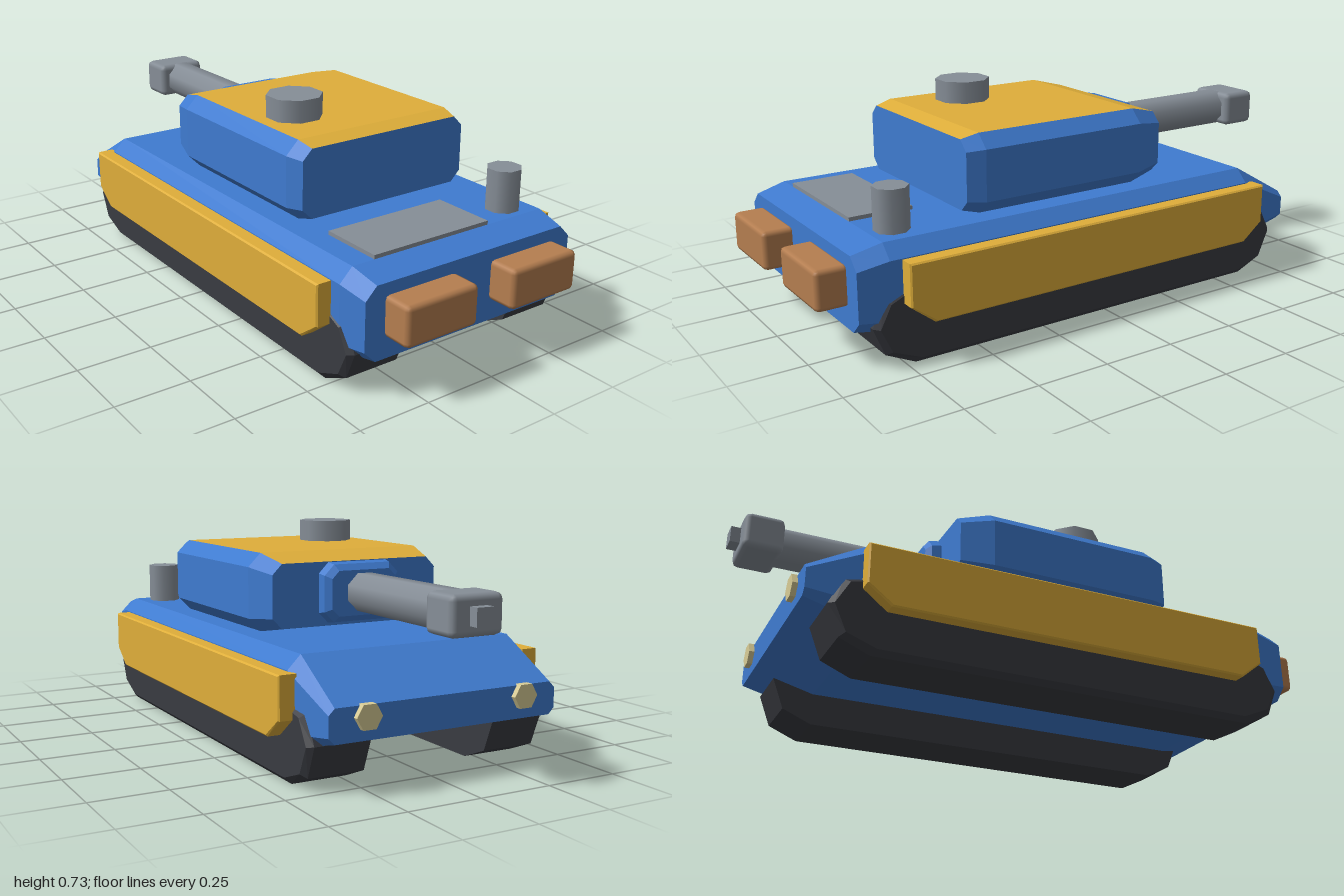
import * as THREE from 'three';
import { RoundedBoxGeometry } from 'three/addons/geometries/RoundedBoxGeometry.js';

const material = (color, flatShading = false) => new THREE.MeshStandardMaterial({ color, flatShading });
const blue = material(0x3f7bd0, true);
const yellow = material(0xdfae3a, true);
const dark = material(0x393b41, true);
const grey = material(0x868e97);
const brown = material(0xb57e50);
const cream = material(0xd8cc96, true);

// Chamfered rectangle, counter-clockwise seen from +z; edge 2 is the top
function octagon(z, w, y0, y1, c) {
  return [[w, y0 + c], [w, y1 - c], [w - c, y1], [c - w, y1],
    [-w, y1 - c], [-w, y0 + c], [c - w, y0], [w - c, y0]].map(([x, y]) => [x, y, z]);
}

// Skin rings ordered from +z to -z; keep() picks which edges are skinned
function loft(rings, keep = () => true, caps = true) {
  const pos = [];
  const n = rings[0].length;
  const tri = (a, b, c) => pos.push(...a, ...b, ...c);
  for (let k = 0; k + 1 < rings.length; k++) {
    for (let i = 0; i < n; i++) {
      if (!keep(i)) continue;
      const j = (i + 1) % n, a = rings[k], b = rings[k + 1];
      tri(a[i], b[i], a[j]);
      tri(a[j], b[i], b[j]);
    }
  }
  if (caps) {
    const first = rings[0], last = rings[rings.length - 1];
    for (let i = 1; i + 1 < n; i++) {
      tri(first[0], first[i], first[i + 1]);
      tri(last[0], last[i + 1], last[i]);
    }
  }
  const g = new THREE.BufferGeometry();
  g.setAttribute('position', new THREE.Float32BufferAttribute(pos, 3));
  g.computeVertexNormals();
  return g;
}

// Side plate from a (z, y) outline; the outer edge is chamfered by b
function sidePlate(outline, side, inner, outer, b) {
  let pts = outline.map(([z, y]) => [-z * side, y]);
  if (side < 0) pts = pts.reverse();
  const zs = outline.map(p => p[0]), ys = outline.map(p => p[1]);
  const mid = a => (Math.min(...a) + Math.max(...a)) / 2;
  const half = a => (Math.max(...a) - Math.min(...a)) / 2;
  const cu = -mid(zs) * side, cy = mid(ys);
  const su = 1 - b / half(zs), sy = 1 - b / half(ys);
  const ring = (x, u, v) => pts.map(p => [cu + (p[0] - cu) * u, cy + (p[1] - cy) * v, x]);
  return loft([ring(outer, su, sy), ring(outer - b, 1, 1), ring(inner, 1, 1)])
    .rotateY(side * Math.PI / 2);
}

export function createModel() {
  const model = new THREE.Group();
  model.name = 'tank';
  const add = (name, geometry, mat, x = 0, y = 0, z = 0) => {
    const mesh = new THREE.Mesh(geometry, mat);
    mesh.name = name;
    mesh.position.set(x, y, z);
    model.add(mesh);
    return mesh;
  };
  // Eight-sided cylinder with flats facing the axes; r is the distance to a flat
  const drum = (r, h) => new THREE.CylinderGeometry(r / Math.cos(Math.PI / 8), r / Math.cos(Math.PI / 8), h, 8)
    .rotateY(Math.PI / 8);

  // Hull with a sloping nose
  add('hull', loft([
    octagon(0.9, 0.41, 0.125, 0.365, 0.04),
    octagon(0.8, 0.425, 0.11, 0.39, 0.045),
    octagon(-0.62, 0.425, 0.11, 0.39, 0.045),
    octagon(-0.83, 0.405, 0.165, 0.27, 0.02),
  ]), blue);

  // Turret body and its painted roof
  const turret = [
    octagon(0.48, 0.325, 0.405, 0.635, 0.035),
    octagon(0.42, 0.345, 0.39, 0.65, 0.045),
    octagon(-0.19, 0.345, 0.39, 0.65, 0.045),
    octagon(-0.3, 0.312, 0.41, 0.622, 0.035),
  ];
  add('turret', loft(turret, i => i !== 2), blue);
  add('turretRoof', loft(turret, i => i === 2, false), yellow);
  add('hatch', drum(0.088, 0.085), grey, -0.163, 0.6825, 0.205);

  // Gun
  add('gunMantlet', loft([
    octagon(-0.27, 0.11, 0.44, 0.6, 0.025),
    octagon(-0.305, 0.145, 0.42, 0.62, 0.035),
    octagon(-0.335, 0.14, 0.425, 0.615, 0.035),
    octagon(-0.352, 0.12, 0.445, 0.595, 0.025),
  ]), blue);
  add('gunBarrel', drum(0.062, 0.53).rotateX(Math.PI / 2), grey, 0, 0.522, -0.595);
  add('muzzleBrake', new RoundedBoxGeometry(0.185, 0.126, 0.135, 1, 0.02), grey, 0, 0.522, -0.9);
  add('muzzleTip', new THREE.BoxGeometry(0.06, 0.056, 0.05), grey, 0, 0.522, -0.975);

  // Engine deck
  add('engineVent', new THREE.BoxGeometry(0.45, 0.02, 0.22), grey, -0.075, 0.393, 0.69);
  add('exhaustStack', drum(0.053, 0.15), grey, 0.288, 0.455, 0.723);

  // Paired parts
  const track = [[0.72, 0], [-0.62, 0], [-0.72, 0.042], [-0.76, 0.145], [-0.715, 0.235],
    [-0.66, 0.25], [0.77, 0.25], [0.82, 0.225], [0.858, 0.14], [0.82, 0.048]];
  const skirt = [[0.68, 0.143], [-0.58, 0.143], [-0.66, 0.205], [-0.66, 0.342],
    [0.76, 0.342], [0.76, 0.205]];
  for (const side of [1, -1]) {
    const label = side > 0 ? 'left' : 'right';
    add(label + 'Track', sidePlate(track, side, 0.222, 0.429, 0.018), dark);
    add(label + 'Skirt', sidePlate(skirt, side, 0.415, 0.475, 0.005), yellow);
    add(label + 'StowageBox', new RoundedBoxGeometry(0.27, 0.132, 0.11, 1, 0.016), brown,
      side * 0.205, 0.261, 0.945);
    add(label + 'Headlight', new THREE.CylinderGeometry(0.043, 0.043, 0.03, 6)
      .rotateY(Math.PI / 6).rotateX(Math.PI / 2), cream, side * 0.28, 0.237, -0.833);
  }
  return model;
}
